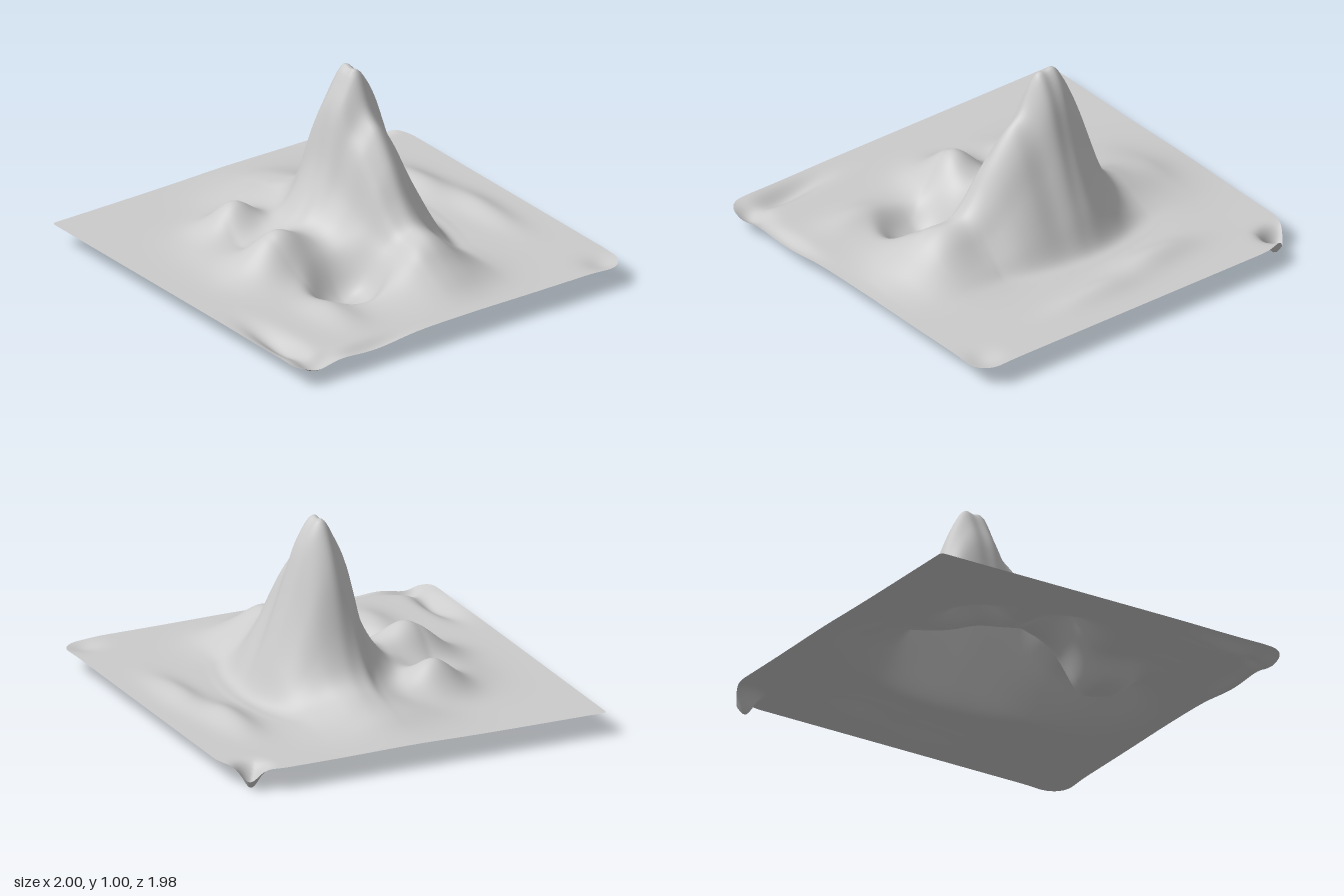
import * as THREE from 'three';

const BASE = 0.12;

// Smooth lookup through [position, value] pairs, flat beyond both ends
function profile(pairs) {
  const xs = pairs.map((p) => p[0]);
  const curve = new THREE.CubicInterpolant(xs, pairs.map((p) => p[1]), 1, new Float32Array(1));
  return (t) => Math.max(0, curve.evaluate(THREE.MathUtils.clamp(t, xs[0], xs[xs.length - 1]))[0]);
}

// Height of the mountain crest along x, above the plain
const crest = profile([
  [-1, 0], [-0.8, 0.005], [-0.55, 0.045], [-0.43, 0.145], [-0.35, 0.305], [-0.25, 0.63], [-0.18, 0.8],
  [-0.13, 0.875], [-0.08, 0.87], [-0.03, 0.87], [0.05, 0.71], [0.15, 0.62], [0.25, 0.47],
  [0.35, 0.29], [0.45, 0.15], [0.65, 0.035], [0.8, 0.01], [0.93, 0],
]);

// Falloff of the mountain across z, steep behind and concave in front
const slope = profile([
  [-0.58, 0], [-0.48, 0.04], [-0.4, 0.25], [-0.3, 0.56], [-0.22, 0.84], [-0.16, 0.97], [-0.115, 1],
  [-0.06, 0.9], [0, 0.75], [0.05, 0.49], [0.1, 0.34], [0.2, 0.16], [0.3, 0.08], [0.48, 0],
]);

// Rounded hills and hollows: x, z, height, spread in x, spread in z
const bumps = [
  [0.6, -0.08, 0.14, 0.2, 0.24], // right shoulder
  [-0.6, -0.06, 0.07, 0.25, 0.28], // left shoulder
  [-0.39, 0.36, 0.15, 0.14, 0.15], // foothills
  [0.06, 0.43, 0.18, 0.14, 0.18],
  [-0.15, 0.55, 0.035, 0.3, 0.17],
  [-0.3, -0.7, 0.045, 0.22, 0.09], // low hills behind
  [0.1, -0.78, 0.035, 0.25, 0.08],
  [0.6, 0.5, 0.035, 0.18, 0.1],
  [0.72, 0.9, -0.055, 0.22, 0.06], // sunken front corner and edge
  [0.96, 0.86, -0.045, 0.06, 0.1],
  [0.99, 0.55, -0.03, 0.05, 0.2],
  [-0.9, -0.88, -0.11, 0.06, 0.055], // back corners
  [0.92, -0.9, -0.02, 0.08, 0.08],
];

function height(x, z) {
  // The mountain narrows away from its summit
  const width = 1 - 0.2 * Math.min(1, ((x + 0.05) / 0.45) ** 2);
  let h = BASE + crest(x) * slope((z + 0.115) / width - 0.115);
  for (const [bx, bz, a, sx, sz] of bumps) {
    h += a * Math.exp(-(((x - bx) / sx) ** 2) - ((z - bz) / sz) ** 2);
  }
  // Crater sunk beside the foothills, deepest towards them
  const r = Math.hypot((x - 0.41) / 0.17, (z - 0.26) / 0.17);
  const floor = 0.2 * Math.abs(x - 0.35) + 0.15 * Math.abs(z - 0.24);
  h = THREE.MathUtils.lerp(h, floor, Math.exp(-(r ** 4)));
  // Weathering grows with height above the plain
  const rough = Math.min(0.01, 0.05 * Math.abs(h - BASE)) * (1 - THREE.MathUtils.smoothstep(h, 0.8, 0.95));
  h += rough * Math.sin(17 * x + 5 * z) * Math.sin(13 * z - 6 * x + 1);
  return Math.max(0, h);
}

// Pull a square corner into a rounded one of radius r
function roundCorner(x, z) {
  const r = x < 0 ? (z < 0 ? 0.28 : 0.02) : (z < 0 ? 0.12 : 0.08);
  const u = (Math.abs(x) - 1 + r) / r;
  const v = (Math.abs(z) - 1 + r) / r;
  if (u <= 0 || v <= 0) return [x, z];
  const k = Math.max(u, v) / Math.hypot(u, v);
  return [Math.sign(x) * (1 - r + r * u * k), Math.sign(z) * (1 - r + r * v * k)];
}

export function createModel() {
  const group = new THREE.Group();
  group.name = 'landscape';

  // One open sheet of ground, raised by the height rule
  const ground = new THREE.PlaneGeometry(2, 2, 140, 140).rotateX(-Math.PI / 2);
  const pos = ground.attributes.position;
  for (let i = 0; i < pos.count; i++) {
    const [x, z] = roundCorner(pos.getX(i), pos.getZ(i));
    pos.setXYZ(i, x, height(x, z), z * 0.99);
  }
  ground.computeVertexNormals();

  const material = new THREE.MeshStandardMaterial({ color: 0xcccccc, side: THREE.DoubleSide });
  const terrain = new THREE.Mesh(ground, material);
  terrain.name = 'mountainTerrain';
  group.add(terrain);
  return group;
}
